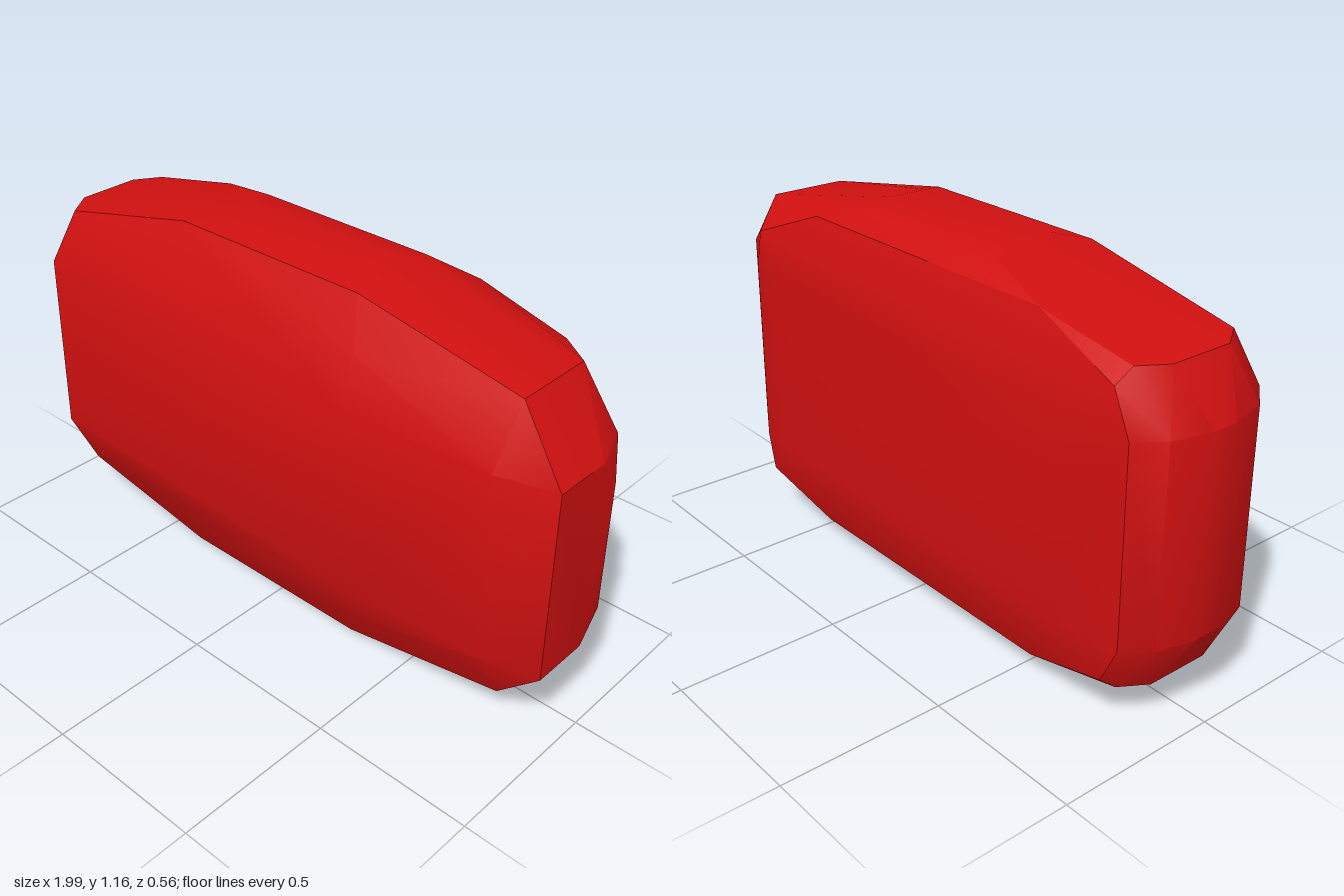
import * as THREE from 'three';
import { ConvexGeometry } from 'three/addons/geometries/ConvexGeometry.js';
import { toCreasedNormals } from 'three/addons/utils/BufferGeometryUtils.js';

const HEIGHT = 1.156;

// Upper half of the faceted body, as corners [x, z] grouped by height.
// The lower half is its mirror image.
const layers = [
  // broad front and back faces and the rounded ends
  { y: 0.87, points: [
    [-0.89, 0.235], [0.35, 0.28], [0.82, 0.245], [0.99, 0.2], [0.99, 0.02],
    [0.94, -0.12], [0.7, -0.26], [0.6, -0.27], [-0.68, -0.285],
    [-0.91, -0.255], [-0.97, -0.18], [-1, -0.06], [-1, 0.02], [-0.97, 0.14],
  ] },
  { y: 0.78, points: [[0.99, -0.05]] },
  // first bevel
  { y: 0.99, points: [[0.68, -0.255], [-0.85, -0.25]] },
  { y: 1.01, points: [[0.35, 0.22], [-0.82, 0.19]] },
  // shoulders
  { y: 1.03, points: [[-0.91, -0.12], [-0.91, 0.08], [-0.86, -0.2], [-0.85, 0.165]] },
  { y: 1.045, points: [[0.83, 0.15], [0.83, -0.1]] },
  // second bevel and crown
  { y: 1.09, points: [[0.42, -0.215], [-0.55, -0.215]] },
  { y: 1.14, points: [[-0.32, -0.15], [0.28, -0.15], [-0.36, 0.15], [0.3, 0.15]] },
  { y: 1.156, points: [[-0.28, -0.06], [0.26, -0.06], [-0.28, 0.07], [0.26, 0.07]] },
];

export function createModel() {
  const group = new THREE.Group();
  group.name = 'facetedBlock';

  const corners = [];
  for (const { y, points } of layers) {
    for (const [x, z] of points) {
      corners.push(new THREE.Vector3(x, y, z), new THREE.Vector3(x, HEIGHT - y, z));
    }
  }

  // soft shading over shallow bevels, sharp at strong edges
  const geometry = toCreasedNormals(new ConvexGeometry(corners), 0.5);
  const body = new THREE.Mesh(geometry, new THREE.MeshStandardMaterial({ color: 0xd01010 }));
  body.name = 'body';
  group.add(body);
  return group;
}
